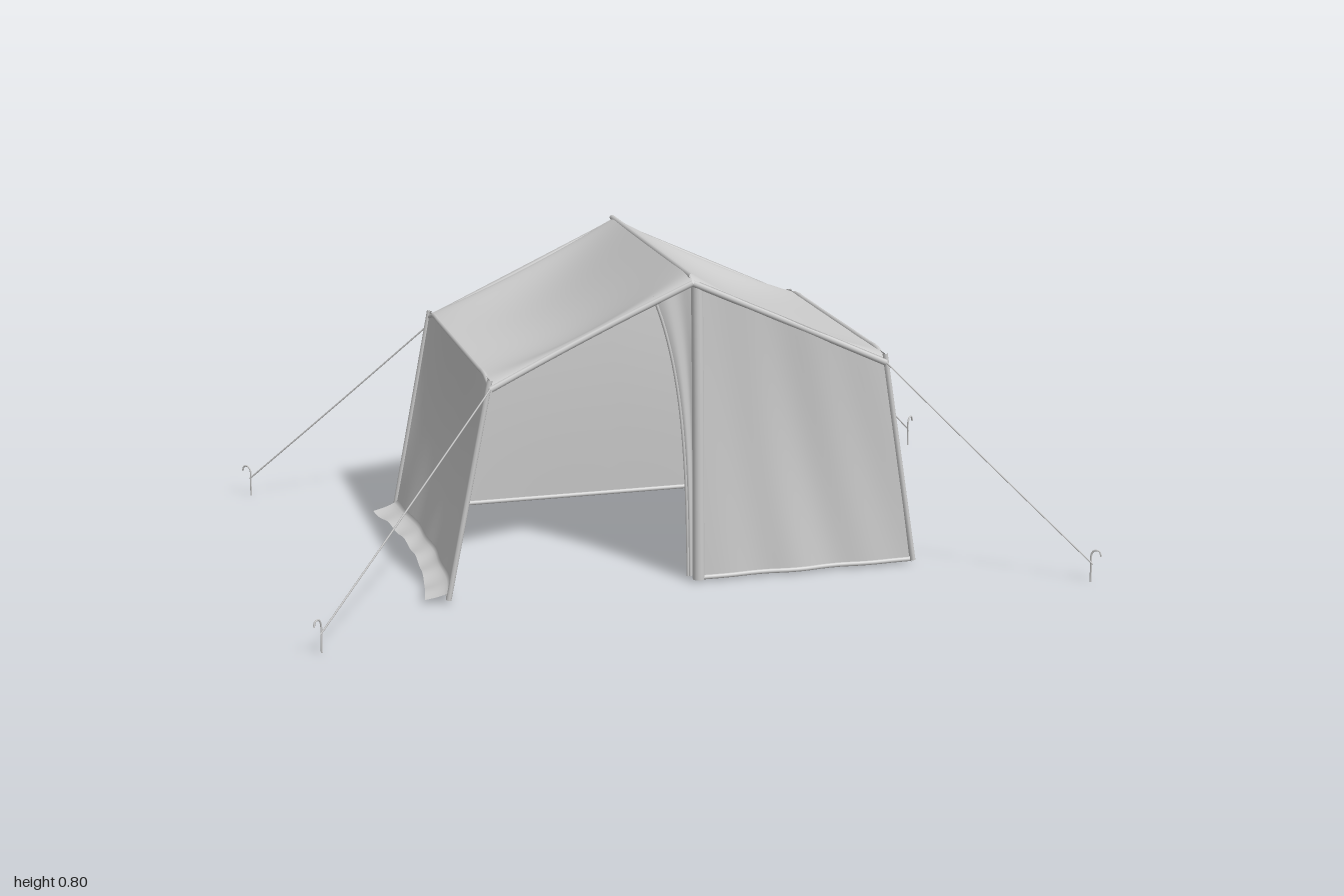
import * as THREE from 'three';
import { ParametricGeometry } from 'three/addons/geometries/ParametricGeometry.js';

const EAVE_X = 0.51, EAVE_Y = 0.565, RIDGE_Y = 0.8, HALF = 0.39, HEM_Y = 0.012;
const cloth = new THREE.MeshStandardMaterial({ color: 0xcccccc, side: THREE.DoubleSide });
const solid = new THREE.MeshStandardMaterial({ color: 0xcccccc });
const lerp = THREE.MathUtils.lerp;
const V = (x, y, z) => new THREE.Vector3(x, y, z);
const bump = (t) => Math.sin(Math.PI * t);

export function createModel() {
  const tent = new THREE.Group();
  tent.name = 'tent';

  const add = (name, geometry, material) => {
    const mesh = new THREE.Mesh(geometry, material);
    mesh.name = name;
    tent.add(mesh);
    return mesh;
  };
  // Cloth panel: fn(u, v) returns [x, y, z]
  const sheet = (name, fn, nu = 30, nv = 30) =>
    add(name, new ParametricGeometry((u, v, p) => p.set(...fn(u, v)), nu, nv), cloth);
  // Cord or hem following points
  const cord = (name, points, radius, sides = 8) =>
    add(name, new THREE.TubeGeometry(new THREE.CatmullRomCurve3(points), 24, radius, sides), solid);
  // Hem that follows one edge of a panel
  const hem = (name, fn, radius = 0.007) =>
    cord(name, Array.from({ length: 13 }, (_, i) => V(...fn(i / 12))), radius);

  const roofY = (x) => lerp(RIDGE_Y, EAVE_Y, Math.min(1, Math.abs(x) / EAVE_X));

  // Roof slopes sag between the ridge, eaves and gables, and roll over at the gable ends
  for (const s of [-1, 1]) {
    const side = s < 0 ? 'right' : 'left';
    const roof = (u, v) => {
      const t = v * 2 - 1;
      const sag = 0.058 * bump(u) * (1 - t ** 4);
      const roll = 0.022 * Math.abs(t) ** 24;
      const pinch = 0.012 * bump(u) * Math.abs(t) ** 4;
      return [s * u * EAVE_X, lerp(RIDGE_Y, EAVE_Y, u) - sag - roll, t * (HALF + 0.008 - pinch)];
    };
    sheet(side + 'Roof', roof, 30, 60);
    for (const v of [0, 1]) hem(side + 'RoofHem', (u) => roof(u, v), 0.008);
    hem(side + 'EaveSeam', (v) => roof(1, v), 0.006);
  }
  hem('ridgeSeam', (v) => [0, RIDGE_Y - 0.006, lerp(-HALF, HALF, v)], 0.007);

  // Side walls lean outwards and draw in between the corners
  const walls = {
    leftWall: (u, v) => {
      const t = v * 2 - 1;
      const base = 0.535 + 0.06 * t * t;
      const x = lerp(EAVE_X, base, u) - 0.012 * bump(u) * (1 - t * t);
      return [x + 0.003 * u * Math.sin(t * 9), lerp(EAVE_Y, HEM_Y, u), t * (HALF + 0.008 * u)];
    },
    rightWall: (u, v) => {
      const t = v * 2 - 1;
      const base = 0.6 + 0.02 * t * t;
      const x = lerp(EAVE_X, base, u) - 0.03 * bump(u) * (1 - t ** 4);
      return [-x + 0.003 * u * Math.sin(t * 11), lerp(EAVE_Y, HEM_Y, u), t * (HALF + 0.004 * u)];
    },
  };
  for (const [name, fn] of Object.entries(walls)) {
    sheet(name, fn);
    for (const v of [0, 1]) hem(name + 'EndHem', (u) => fn(u, v));
    hem(name + 'BaseHem', (v) => fn(1, v), 0.006);
  }

  // Loose skirt of the open side, splayed over the ground
  sheet('groundSkirt', (u, v) => {
    const t = v * 2 - 1;
    const start = walls.rightWall(0.95, v);
    const end = -0.64 - 0.04 * t * t;
    return [
      lerp(start[0], end, u),
      lerp(start[1], 0.01, Math.sqrt(u)) + 0.004 * u * (1 + Math.sin(t * 16)),
      t * (HALF + 0.004 - 0.015 * u),
    ];
  }, 8, 40);

  // Back wall, slightly hollow inside its frame
  const backEdge = (h) => [
    -lerp(0.62, EAVE_X, h), // bottom corners spread wider than the eaves
    lerp(0.595, EAVE_X, h),
  ];
  const back = (u, v) => {
    const [a, b] = backEdge(v);
    const x = lerp(a, b, u);
    return [x, lerp(HEM_Y, roofY(x) - 0.012, v), -HALF + 0.014 * bump(u) * bump(v)];
  };
  sheet('backWall', back, 40, 24);
  hem('backBaseHem', (u) => back(u, 0), 0.006);

  // Closed front panel with soft hanging folds
  const front = (u, v) => {
    const x = lerp(0.02, lerp(0.59, EAVE_X, v), u);
    const folds = 0.005 * Math.sin(u * 17 + v * 4) * bump(u) * (1 - 0.6 * v);
    return [x, lerp(HEM_Y, roofY(x) - 0.012, v), HALF - 0.01 * bump(u) * bump(v) + folds];
  };
  sheet('frontPanel', front, 50, 24);
  hem('frontBaseHem', (u) => front(u, 0), 0.006);

  // Gathered door edge at the centre and the flap behind it
  cord('doorRoll', [V(0.015, 0.77, 0.385), V(0.018, 0.5, 0.388), V(0.02, 0.25, 0.388), V(0.022, 0.008, 0.388)], 0.015, 14);
  const flap = (u, v) => {
    const left = -0.08 * v ** 3 - 0.012 * v;
    const x = lerp(left, 0.025, u);
    return [x, lerp(HEM_Y, roofY(x) - 0.012, v), 0.38 - 0.012 * (1 - u) + 0.004 * Math.sin(u * 9)];
  };
  sheet('doorFlap', flap, 16, 24);
  hem('doorFlapHem', (v) => flap(0, v), 0.004);

  // Guy ropes and hooked pegs at the four corners
  for (const sx of [-1, 1]) for (const sz of [-1, 1]) {
    const topY = sz > 0 ? 0.55 : 0.53;
    cord('guyRope', [
      V(sx * 0.505, topY, sz * 0.395), V(sx * 0.743, topY / 2 + 0.023, sz * 0.527), V(sx * 0.98, 0.05, sz * 0.66),
    ], 0.0022, 6);
    cord('peg', [
      V(sx * 0.978, 0.002, sz * 0.655), V(sx * 0.978, 0.04, sz * 0.655), V(sx * 0.978, 0.075, sz * 0.655),
      V(sx * 0.984, 0.086, sz * 0.66), V(sx * 0.993, 0.085, sz * 0.668), V(sx * 0.997, 0.072, sz * 0.672),
    ], 0.0025, 6);
  }
  return tent;
}
